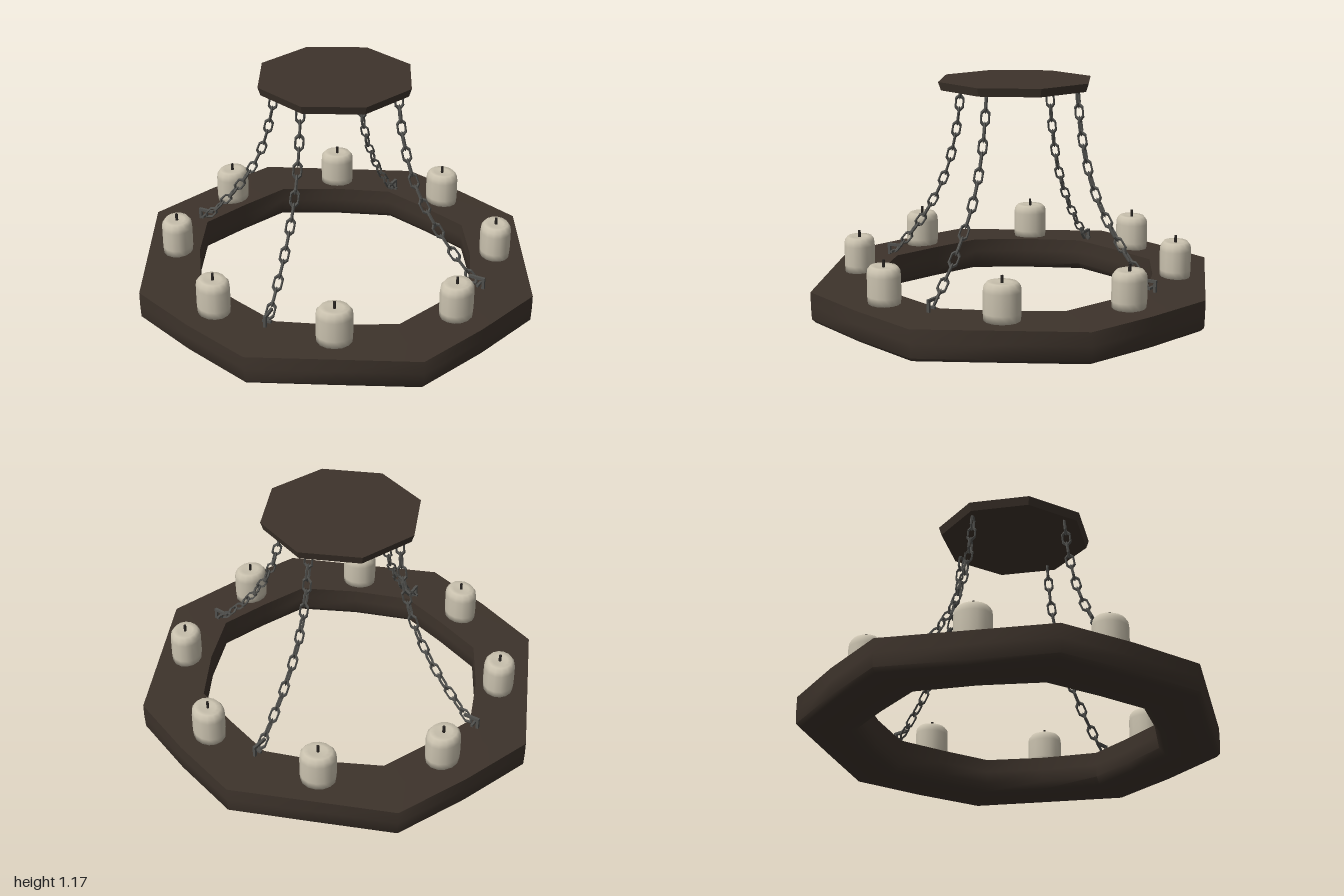
import * as THREE from 'three';
import { toCreasedNormals } from 'three/addons/utils/BufferGeometryUtils.js';

const wood = new THREE.MeshStandardMaterial({ name: 'darkWood', color: 0x3d332b });
const wax = new THREE.MeshStandardMaterial({ name: 'candleWax', color: 0xc9c1ae });
const iron = new THREE.MeshStandardMaterial({ name: 'iron', color: 0x50504d });
const char = new THREE.MeshStandardMaterial({ name: 'wick', color: 0x2b2724 });

function part(name, geometry, material, parent) {
  const m = new THREE.Mesh(geometry, material);
  m.name = name;
  parent.add(m);
  return m;
}

// Corners of an octagon plus slightly bowed edge midpoints
function bowed(corners, bow) {
  return corners.flatMap(([x, z], i) => {
    const [x2, z2] = corners[(i + 1) % corners.length];
    const k = bow(i);
    return [[x, z], [(x + x2) / 2 * k, (z + z2) / 2 * k]];
  });
}

// Hand-hewn wooden ring: a cross-section swept between two rough octagons
function ringGeometry() {
  const outer = bowed([[0.37, 0.965], [0.985, 0.4], [0.985, -0.4], [0.4, -0.97],
    [-0.36, -0.97], [-0.98, -0.42], [-1, 0.38], [-0.41, 0.965]], (i) => (i % 2 ? 1.015 : 1));
  const inner = bowed([[0.26, 0.67], [0.7, 0.26], [0.7, -0.26], [0.28, -0.68],
    [-0.26, -0.68], [-0.7, -0.28], [-0.71, 0.27], [-0.29, 0.67]], (i) => (i % 2 ? 1.01 : 1.03));
  // [inner-to-outer fraction, height]
  const section = [[0, 0.178], [0.5, 0.174], [1, 0.168], [1, 0.1], [0.99, 0.03],
    [0.93, 0.012], [0.5, 0.005], [0.1, 0.01], [0, 0.045], [0, 0.11]];
  const n = outer.length, m = section.length, pos = [], index = [];
  for (let i = 0; i < n; i++) {
    for (const [t, y] of section) {
      pos.push(THREE.MathUtils.lerp(inner[i][0], outer[i][0], t), y,
        THREE.MathUtils.lerp(inner[i][1], outer[i][1], t));
    }
    for (let j = 0; j < m; j++) {
      const i2 = (i + 1) % n, j2 = (j + 1) % m;
      const a = i * m + j, b = i2 * m + j, c = i * m + j2, d = i2 * m + j2;
      index.push(a, c, b, b, c, d);
    }
  }
  const g = new THREE.BufferGeometry();
  g.setAttribute('position', new THREE.Float32BufferAttribute(pos, 3));
  g.setIndex(index);
  return toCreasedNormals(g, 0.95);
}

// Stubby candle with a soft shoulder, a shallow melted dip and a wick
function addCandle(x, z, i, parent) {
  const candle = new THREE.Group();
  candle.name = 'candle' + (i + 1);
  const profile = [[0, 0], [0.076, 0], [0.079, 0.04], [0.079, 0.14], [0.076, 0.165],
    [0.062, 0.184], [0.04, 0.183], [0, 0.178]].map(([r, y]) => new THREE.Vector2(r, y));
  part('candleBody', new THREE.LatheGeometry(profile, 14), wax, candle).scale.x = 1.14;
  part('candleWick', new THREE.CylinderGeometry(0.007, 0.008, 0.04, 6), char, candle).position.y = 0.195;
  candle.position.set(x, 0.17, z);
  candle.rotation.y = Math.atan2(x, z);
  parent.add(candle);
}

// Elongated six-sided link, long axis along y
const linkGeometry = new THREE.TorusGeometry(0.024, 0.0065, 4, 6)
  .rotateZ(Math.PI / 6).scale(0.92, 1.75, 1).toNonIndexed();
linkGeometry.computeVertexNormals();

// Sagging chain with alternating links, ending at an iron staple in the ring
function addChain([tx, tz], [bx, bz], i, parent) {
  const chain = new THREE.Group();
  chain.name = 'chain' + (i + 1);
  const at = (s, y) => new THREE.Vector3(
    THREE.MathUtils.lerp(tx, bx, s), y, THREE.MathUtils.lerp(tz, bz, s));
  const curve = new THREE.CatmullRomCurve3(
    [at(0, 1.13), at(0.07, 0.9), at(0.24, 0.65), at(0.55, 0.42), at(0.98, 0.2)]);
  const count = 15, up = new THREE.Vector3(0, 1, 0);
  const heading = Math.atan2(bx - tx, bz - tz);
  for (let k = 0; k < count; k++) {
    const u = (k + 0.5) / count;
    const link = part('chainLink', linkGeometry, iron, chain);
    link.position.copy(curve.getPointAt(u));
    link.quaternion.setFromUnitVectors(up, curve.getTangentAt(u).negate());
    link.rotateY(Math.PI / 4 + (k % 2) * Math.PI / 2 + heading * 0.1);
  }
  // Staple: post in the ring, arm reaching inward and a short cross pin
  const staple = new THREE.Group();
  staple.name = 'staple';
  part('staplePost', new THREE.BoxGeometry(0.014, 0.07, 0.014), iron, staple).position.set(0, 0.035, 0.035);
  part('stapleArm', new THREE.BoxGeometry(0.014, 0.014, 0.085), iron, staple).position.set(0, 0.065, 0);
  part('staplePin', new THREE.BoxGeometry(0.045, 0.012, 0.012), iron, staple).position.set(0, 0.03, 0.012);
  staple.position.set(bx, 0.165, bz);
  staple.rotation.y = heading;
  chain.add(staple);
  parent.add(chain);
}

export function createModel() {
  const model = new THREE.Group();
  model.name = 'candleChandelier';

  part('woodenRing', ringGeometry(), wood, model);

  // Octagonal ceiling plate, slightly narrower underneath
  const plateGeometry = new THREE.CylinderGeometry(0.4, 0.386, 0.042, 8).toNonIndexed();
  plateGeometry.computeVertexNormals();
  const plate = part('ceilingPlate', plateGeometry, wood, model);
  plate.position.y = 1.152;
  plate.rotation.y = THREE.MathUtils.degToRad(21.5);

  [[-0.02, 0.81], [0.57, 0.57], [0.83, 0], [0.59, -0.58], [0.01, -0.82], [-0.57, -0.58],
    [-0.83, -0.02], [-0.6, 0.56]].forEach(([x, z], i) => addCandle(x, z, i, model));

  [[[0.09, 0.32], [0.25, 0.7]], [[0.3, -0.13], [0.74, -0.26]],
    [[-0.14, -0.3], [-0.25, -0.7]], [[-0.32, 0.1], [-0.74, 0.25]]]
    .forEach(([top, bottom], i) => addChain(top, bottom, i, model));

  return model;
}
